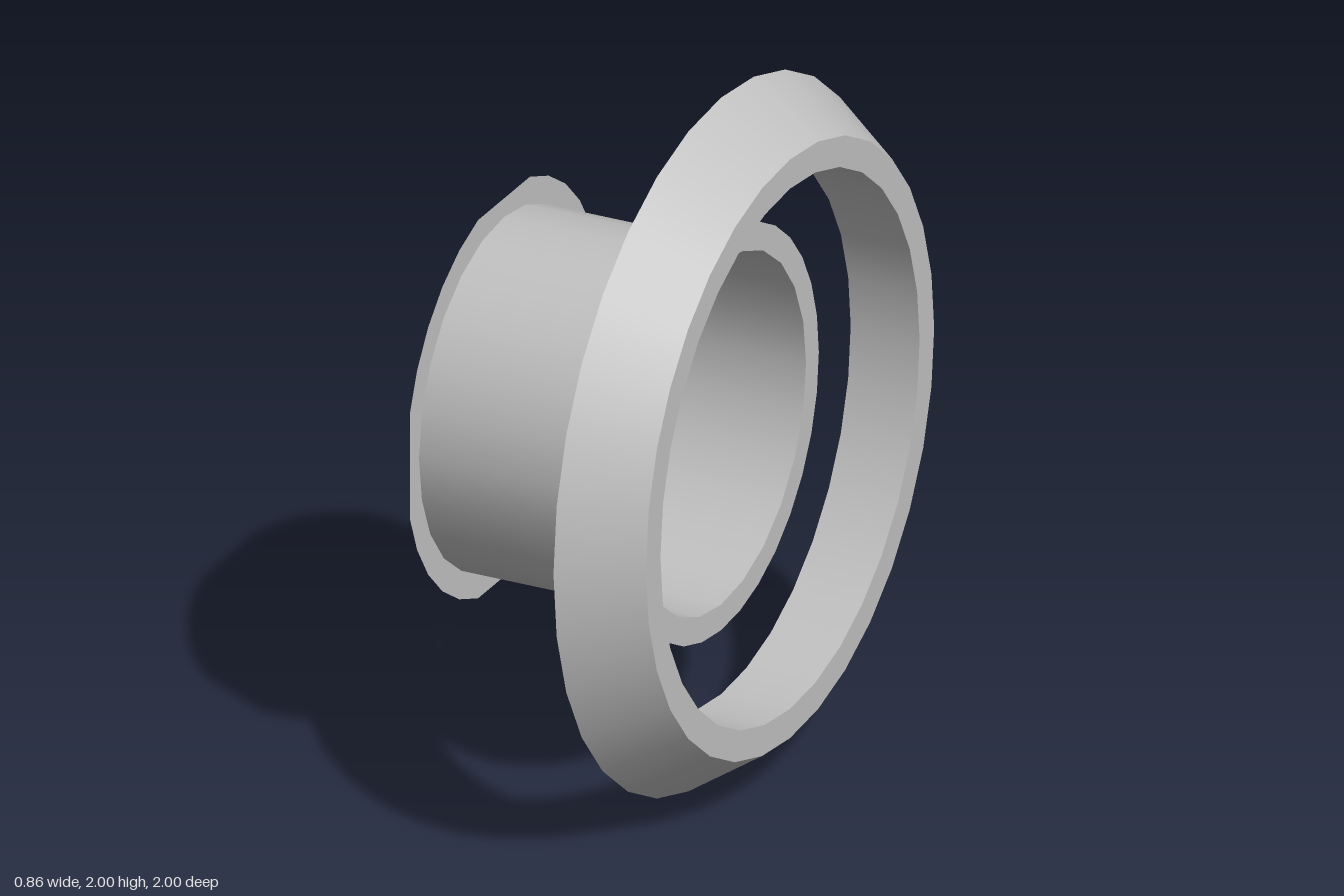
import * as THREE from 'three';
import { mergeGeometries } from 'three/addons/utils/BufferGeometryUtils.js';

const SEGMENTS = 32;
const BACK = -0.433, SEAT = 0.222, FRONT = 0.43;
const BORE = 0.507, FLANGE = 0.583;

// Surface of revolution about x; each span of the [x, radius] profile keeps sharp ends
function revolve(profile, segments) {
  const bands = [];
  for (let i = 0; i < profile.length - 1; i++) {
    const pts = [profile[i], profile[i + 1]].map(([x, r]) => new THREE.Vector2(r, x));
    bands.push(new THREE.LatheGeometry(pts, segments));
  }
  return mergeGeometries(bands).rotateZ(-Math.PI / 2);
}

// Flat ring facing +x, with its outer edge optionally trimmed to four flats
function flatRing(inner, outer, flat = outer) {
  const outline = [], hole = [];
  const half = Math.acos(Math.min(1, flat / outer));
  if (half > 0) {
    for (let q = 0; q < 4; q++) {
      const start = q * Math.PI / 2 + half, sweep = Math.PI / 2 - 2 * half;
      for (let i = 0; i <= 5; i++) {
        const a = start + sweep * i / 5;
        outline.push(new THREE.Vector2(Math.cos(a) * outer, Math.sin(a) * outer));
      }
    }
  }
  for (let i = 0; i < SEGMENTS; i++) {
    const a = i / SEGMENTS * Math.PI * 2;
    if (half === 0) outline.push(new THREE.Vector2(Math.cos(a) * outer, Math.sin(a) * outer));
  }
  for (let i = 0; i < 24; i++) {
    const a = i / 24 * Math.PI * 2;
    hole.push(new THREE.Vector2(Math.cos(a) * inner, Math.sin(a) * inner));
  }
  const shape = new THREE.Shape(outline);
  shape.holes.push(new THREE.Path(hole));
  return new THREE.ShapeGeometry(shape).rotateY(Math.PI / 2);
}

export function createModel() {
  const model = new THREE.Group();
  model.name = 'flangedSleeveWithRing';
  const metal = new THREE.MeshStandardMaterial({ color: 0xc0c0c0, side: THREE.DoubleSide });
  metal.name = 'light grey metal';

  const add = (name, geometry, x = 0) => {
    const mesh = new THREE.Mesh(geometry, metal);
    mesh.name = name;
    mesh.position.set(x, 1, 0);
    model.add(mesh);
  };

  // Bevelled outer ring: cone, front face, bore, back face
  add('bevelledRing', revolve(
    [[SEAT, 1], [FRONT, 0.86], [FRONT, 0.773], [SEAT, 0.773], [SEAT, 1]], SEGMENTS));

  // Thin open sleeve with a flat flange at each end
  add('sleeve', revolve([[BACK, BORE], [SEAT, BORE]], 24));
  add('roundFlange', flatRing(BORE, FLANGE), SEAT);
  add('trimmedFlange', flatRing(BORE, FLANGE, 0.562), BACK);

  return model;
}
